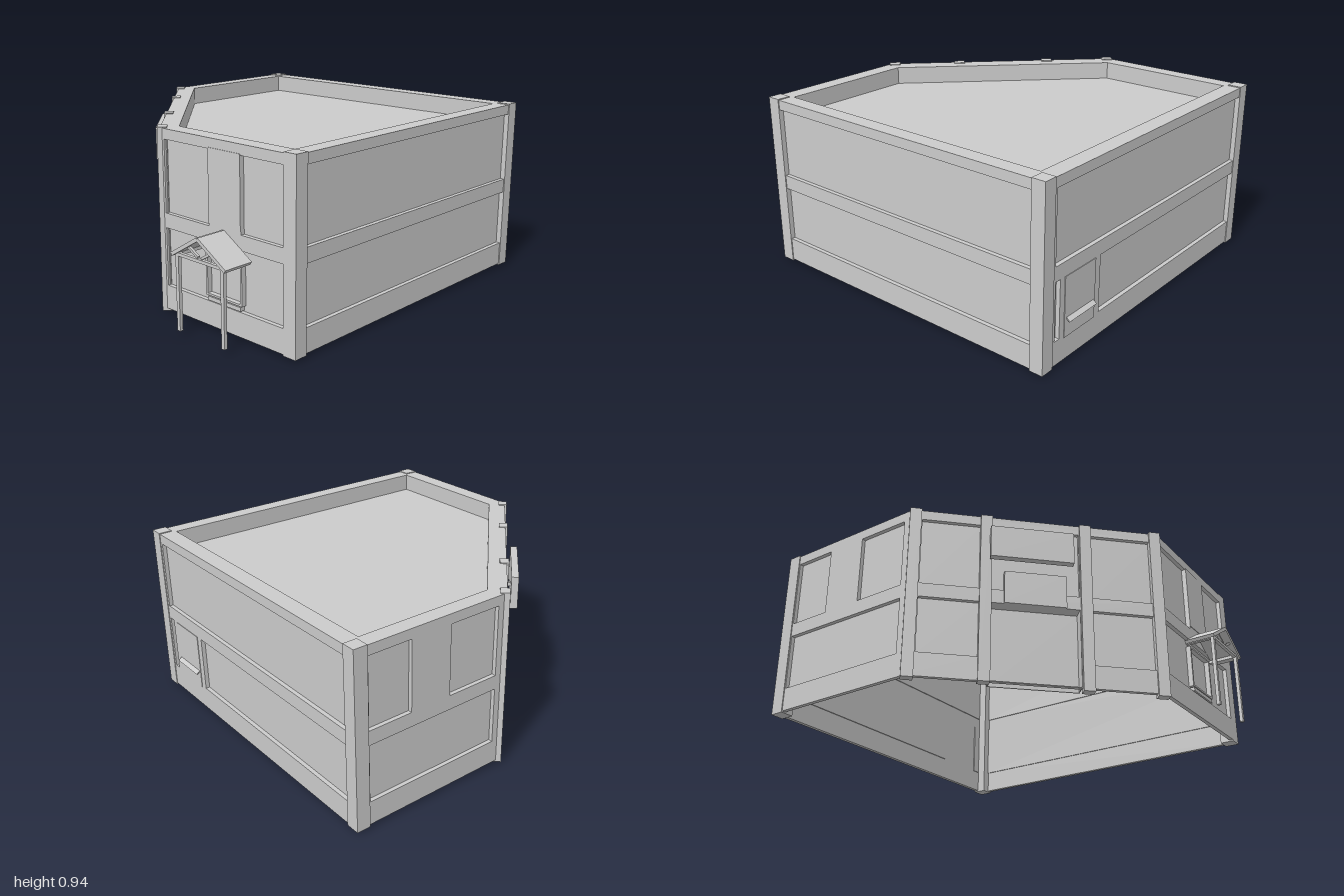
import * as THREE from 'three';

const grey = new THREE.MeshStandardMaterial({ color: 0xcccccc, flatShading: true, side: THREE.DoubleSide });

// Footprint corners (x, z) and the inner edge of the parapet
const outer = [[0.02, 0.835], [0.9, 0.835], [0.9, -0.975], [-0.9, -0.975], [-0.9, -0.08]];
const inner = [[0.06, 0.745], [0.815, 0.745], [0.815, -0.885], [-0.815, -0.885], [-0.815, -0.13]];
const SKIN = 0.022, BASE = 0.025, TOP = 0.945;

function add(parent, name, geometry, x = 0, y = 0, z = 0) {
  const mesh = new THREE.Mesh(geometry, grey);
  mesh.name = name;
  mesh.position.set(x, y, z);
  parent.add(mesh);
  return mesh;
}

// Box given by its limits on each axis
function box(parent, name, x0, x1, y0, y1, z0, z1) {
  return add(parent, name, new THREE.BoxGeometry(x1 - x0, y1 - y0, z1 - z0),
    (x0 + x1) / 2, (y0 + y1) / 2, (z0 + z1) / 2);
}

// Square bar between two points in a plane of constant z
function bar(parent, name, x0, y0, x1, y1, z, thick, depth) {
  const m = add(parent, name, new THREE.BoxGeometry(Math.hypot(x1 - x0, y1 - y0), thick, depth),
    (x0 + x1) / 2, (y0 + y1) / 2, z);
  m.rotation.z = Math.atan2(y1 - y0, x1 - x0);
  return m;
}

const vectors = (pts) => pts.map(([x, z]) => new THREE.Vector2(x, -z));
const blend = (t) => outer.map(([x, z], i) => [x + (inner[i][0] - x) * t, z + (inner[i][1] - z) * t]);

// Horizontal slab or ring following the footprint
function slab(parent, name, pts, hole, y0, y1) {
  const shape = new THREE.Shape(vectors(pts));
  if (hole) shape.holes.push(new THREE.Path(vectors(hole)));
  const g = new THREE.ExtrudeGeometry(shape, { depth: y1 - y0, bevelEnabled: false });
  g.rotateX(-Math.PI / 2);
  add(parent, name, g, 0, y0, 0);
}

// Wall from corner i to the next: thin frame with recessed panels.
// Local x runs along the wall, local z points outward.
function wall(parent, name, i, openings) {
  const [ax, az] = outer[i], [bx, bz] = outer[(i + 1) % outer.length];
  const length = Math.hypot(bx - ax, bz - az);
  const g = new THREE.Group();
  g.name = name;
  g.position.set(ax, 0, az);
  g.rotation.y = Math.atan2(az - bz, bx - ax);
  parent.add(g);
  const rect = (C, x0, x1, y0, y1) => new C([[x0, y0], [x1, y0], [x1, y1], [x0, y1]].map((p) => new THREE.Vector2(...p)));
  const shape = rect(THREE.Shape, 0, length, BASE, 0.9);
  for (const [x0, x1, y0, y1, deep = SKIN] of openings) {
    shape.holes.push(rect(THREE.Path, x0, x1, y0, y1));
    box(g, name + 'Panel', x0 - 0.004, x1 + 0.004, y0 - 0.004, y1 + 0.004, -deep - 0.006, -deep);
    if (deep > SKIN) { // reveals of a deep niche
      box(g, 'nicheSide', x0 - 0.004, x0, y0, y1, -deep, -SKIN);
      box(g, 'nicheSide', x1, x1 + 0.004, y0, y1, -deep, -SKIN);
      box(g, 'nicheTop', x0, x1, y1, y1 + 0.004, -deep, -SKIN);
    }
  }
  add(g, name + 'Frame', new THREE.ExtrudeGeometry(shape, { depth: SKIN, bevelEnabled: false }), 0, 0, -SKIN);
  return g;
}

// Gabled porch standing before the front wall
function porch(parent) {
  const g = new THREE.Group();
  g.name = 'porch';
  parent.add(g);
  const cx = 0.456;
  for (const s of [-1, 1]) {
    box(g, 'porchPost', cx + s * 0.151 - 0.01, cx + s * 0.151 + 0.01, 0.03, 0.41, 0.972, 0.99);
    bar(g, 'porchRoof', cx + s * 0.18, 0.408, cx, 0.518, 0.918, 0.018, 0.164);
    bar(g, 'porchBrace', cx + s * 0.012, 0.426, cx + s * 0.075, 0.462, 0.98, 0.012, 0.014);
    box(g, 'porchSideBeam', cx + s * 0.151 - 0.01, cx + s * 0.151 + 0.01, 0.404, 0.42, 0.83, 0.99);
  }
  box(g, 'porchBeam', cx - 0.16, cx + 0.16, 0.404, 0.42, 0.972, 0.99);
}

export function createModel() {
  const model = new THREE.Group();
  model.name = 'cornerBuilding';
  const LOW = [0.15, 0.45], HIGH = [0.525, 0.893];

  // Front wall with pier, doorway frame and step
  const front = wall(model, 'frontWall', 0, [
    [0.03, 0.81, ...LOW], [0.03, 0.34, ...HIGH], [0.55, 0.81, ...HIGH]]);
  box(front, 'frontPier', 0.34, 0.55, 0.54, 0.9, -0.01, 0.003);
  for (const x of [0.315, 0.545]) box(front, 'doorJamb', x, x + 0.012, 0.18, 0.41, -SKIN, 0.004);
  for (const y of [0.18, 0.4]) box(front, 'doorRail', 0.315, 0.557, y, y + 0.01, -SKIN, 0.004);
  box(front, 'doorSill', 0.325, 0.547, 0.155, 0.175, -SKIN, 0.004);
  porch(model);

  // Left-hand long wall
  wall(model, 'leftWall', 1, [[0.065, 1.74, ...LOW], [0.065, 1.74, ...HIGH]]);

  // Back wall with service hatch and small canopy
  const back = wall(model, 'backWall', 2, [
    [0.085, 1.74, ...HIGH], [0.43, 1.74, ...LOW], [0.085, 0.12, ...LOW]]);
  box(back, 'hatch', 0.155, 0.39, 0.14, 0.45, -0.01, 0.003);
  const canopy = box(back, 'hatchCanopy', 0.17, 0.38, 0.227, 0.233, -0.004, 0.024);
  canopy.rotation.x = 0.7;

  // Short right-hand wall, split by a pier on the upper floor
  wall(model, 'rightWall', 3, [
    [0.075, 0.84, ...LOW], [0.075, 0.315, ...HIGH], [0.545, 0.84, ...HIGH]]);

  // Diagonal wall with entrance niche, columns and two signboards
  const diagonal = wall(model, 'diagonalWall', 4, [
    [0.05, 0.35, ...LOW], [0.05, 0.35, ...HIGH],
    [0.41, 0.865, 0.03, 0.45, 0.07], [0.41, 0.865, ...HIGH],
    [0.93, 1.265, ...LOW], [0.93, 1.265, ...HIGH]]);
  for (const [s, y] of [[0.015, 0.015], [0.38, 0.02], [0.9, 0.008], [1.28, 0.01]])
    box(diagonal, 'column', s - 0.03, s + 0.03, y, 0.95, -0.035, 0.012);
  box(diagonal, 'upperSign', 0.395, 0.825, 0.68, 0.855, 0.03, 0.067);
  box(diagonal, 'lowerSign', 0.475, 0.795, 0.45, 0.63, -SKIN, 0.012);
  for (const s of [0.5, 0.76]) box(diagonal, 'signBracket', s, s + 0.02, 0.76, 0.78, -0.035, 0.04);

  // Pilasters wrapping the three square corners
  for (const [x, z] of [[0.868, 0.798], [0.868, -0.942], [-0.868, -0.942]])
    box(model, 'cornerPilaster', x - 0.037, x + 0.037, 0.018, 0.95, z - 0.037, z + 0.037);

  // Parapet and sunken flat roof
  slab(model, 'parapetCoping', outer, inner, 0.9, TOP);
  slab(model, 'parapetInside', blend(0.4), inner, 0.85, 0.9);
  slab(model, 'roofDeck', blend(0.35), null, 0.84, 0.85);

  return model;
}
